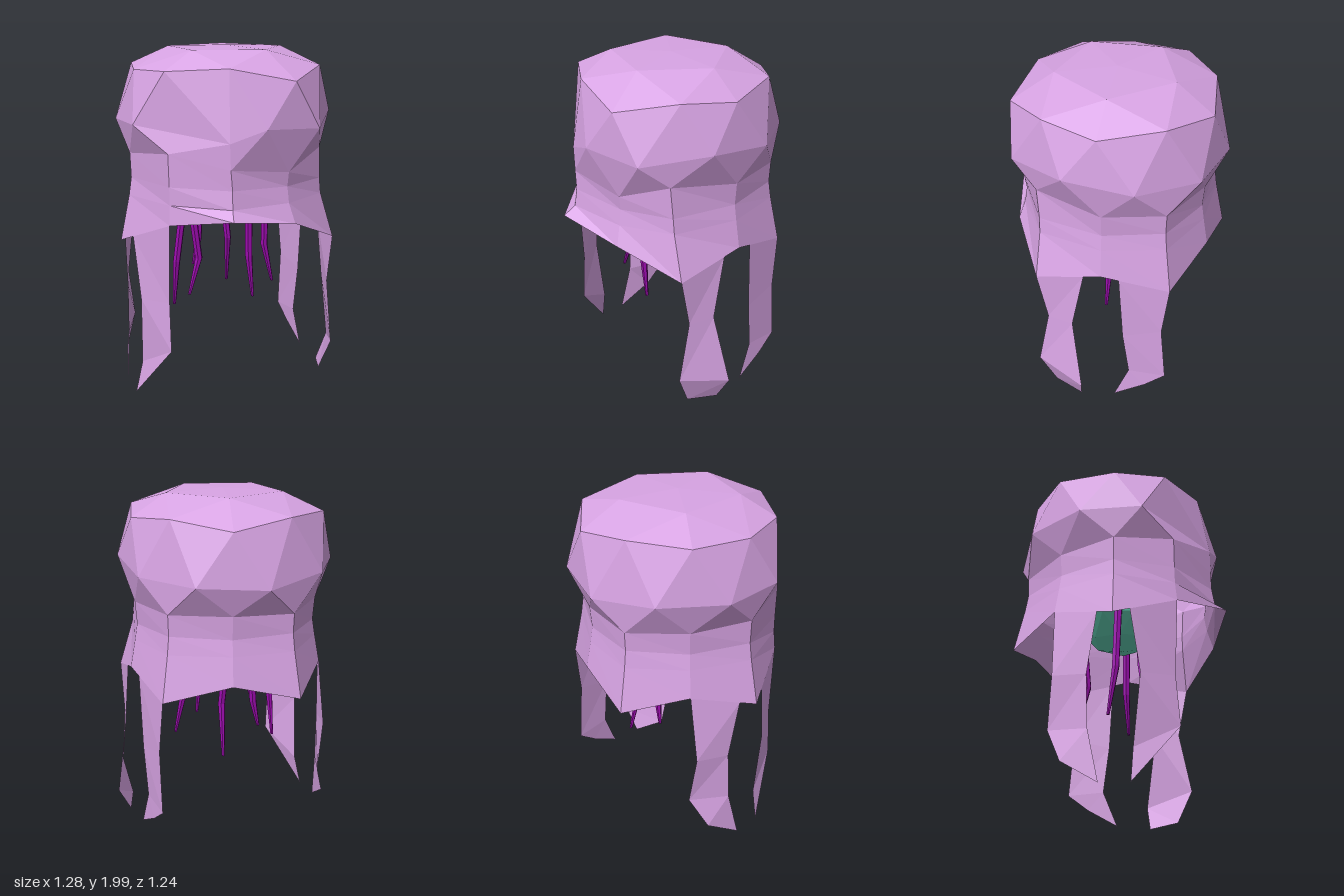
import * as THREE from 'three';

const material = (color) =>
  new THREE.MeshStandardMaterial({ color, flatShading: true, side: THREE.DoubleSide });

// Flat-shaded mesh from a list of corner points, three per triangle
function facetMesh(name, corners, mat) {
  const geo = new THREE.BufferGeometry();
  geo.setAttribute('position', new THREE.Float32BufferAttribute(corners.flat(), 3));
  geo.computeVertexNormals();
  const mesh = new THREE.Mesh(geo, mat);
  mesh.name = name;
  return mesh;
}

// Ring of points; even and odd points may differ in radius and height
function ring(n, start, [rEven, yEven], [rOdd, yOdd] = [rEven, yEven]) {
  return Array.from({ length: n }, (_, i) => {
    const a = start + (i * Math.PI * 2) / n;
    const r = i % 2 ? rOdd : rEven;
    return [r * Math.cos(a), i % 2 ? yOdd : yEven, r * Math.sin(a)];
  });
}

// Flat-topped dome with a faceted, slightly uneven pattern
function dome(lower) {
  const top = [0, 2, 0];
  const cap = ring(5, 0, [0.34, 1.99]);
  const upper = ring(10, 0, [0.56, 1.85], [0.54, 1.9]);
  upper[0] = [0.535, 1.865, 0.02];
  upper[2] = [0.18, 1.84, 0.55];
  upper[3] = [-0.17, 1.91, 0.48];
  upper[4] = [-0.46, 1.89, 0.29];
  upper[5] = [-0.54, 1.88, 0];
  upper[6] = [-0.46, 1.89, -0.33];
  const middle = [
    [0.565, 1.63, 0.2], [0.34, 1.58, 0.52], [0, 1.6, 0.59], [-0.19, 1.53, 0.54], [-0.6, 1.6, 0.16],
    [-0.6, 1.59, -0.19], [-0.37, 1.59, -0.5], [0, 1.55, -0.62], [0.37, 1.57, -0.5], [0.57, 1.58, -0.18],
  ];
  const out = [];
  for (let k = 0; k < 5; k++) {
    const a = cap[k], b = cap[(k + 1) % 5];
    const u0 = upper[2 * k], u1 = upper[2 * k + 1], u2 = upper[(2 * k + 2) % 10];
    out.push(top, b, a, a, b, u1, a, u1, u0, b, u2, u1);
  }
  for (let j = 0; j < 10; j++) {
    const n = (j + 1) % 10;
    out.push(upper[j], upper[n], middle[j], upper[n], middle[n], middle[j]);
    out.push(middle[j], lower[n], lower[j], middle[j], middle[n], lower[n]);
  }
  return out;
}

// Quads between successive rings
function bands(rings) {
  const out = [];
  for (let i = 0; i + 1 < rings.length; i++) {
    const a = rings[i], b = rings[i + 1];
    for (let j = 0; j < a.length; j++) {
      const n = (j + 1) % a.length;
      out.push(a[j], a[n], b[j], a[n], b[n], b[j]);
    }
  }
  return out;
}

// Strip between an outer and an inner edge
function strip(outer, inner) {
  const out = [];
  for (let i = 0; i + 1 < outer.length; i++) {
    out.push(outer[i], inner[i], outer[i + 1], inner[i], inner[i + 1], outer[i + 1]);
  }
  return out;
}

// Tapered arm through three points, closed at the tip
function taperedArm(path, mat) {
  const radii = [0.024, 0.022, 0.009];
  const rings = path.map(([x, y, z], i) =>
    ring(6, 0, [radii[i], y]).map((p) => [p[0] + x, p[1], p[2] + z]));
  const end = rings[2], corners = bands(rings);
  for (let j = 0; j < 6; j++) corners.push(end[j], end[(j + 1) % 6], path[2]);
  return facetMesh('tentacle', corners, mat);
}

export function createModel() {
  const model = new THREE.Group();
  const skin = material(0xd8a4e4);

  // Bell dome and the skirt that hangs from it
  const rim = ring(10, 0, [0.535, 1.4], [0.575, 1.42]);
  rim[1] = [0.42, 1.45, 0.37];
  rim[2][1] = 1.35;
  rim[3] = [-0.185, 1.39, 0.54];
  rim[4] = [-0.46, 1.46, 0.33];
  rim[7][1] = 1.39;
  rim[9][1] = 1.4;
  model.add(facetMesh('bell', dome(rim), skin));

  const waist = ring(10, 0, [0.525, 1.27], [0.57, 1.28]);
  waist[1] = [0.43, 1.27, 0.36];
  waist[4] = [-0.455, 1.28, 0.33];
  const flare = ring(10, 0, [0.54, 1.18], [0.585, 1.18]);
  flare[1] = [0.44, 1.18, 0.36];
  flare[4] = [-0.455, 1.18, 0.33];
  const hem = ring(10, 0, [0.57, 1.02], [0.64, 0.92]);
  hem[2] = [0.19, 1.07, 0.55];
  hem[3] = [-0.2, 1.13, 0.62];
  hem[4] = [-0.46, 1.07, 0.34];
  model.add(facetMesh('skirt', bands([rim, waist, flare, hem]), skin));

  // Four ribbon arms hanging from the hem: hem corners, outer edge, inner edge
  const ribbons = {
    frontLeftRibbon: [1, 0,
      [[0.52, 0.63, 0.32], [0.52, 0.27, 0.39], [0.49, 0.07, 0.3]],
      [[0.56, 0.63, 0.17], [0.64, 0.2, 0.11], [0.56, 0.05, 0.13]]],
    backLeftRibbon: [9, 0,
      [[0.53, 0.62, -0.34], [0.53, 0.26, -0.37], [0.54, 0.17, -0.25]],
      [[0.55, 0.57, -0.12], [0.54, 0.28, -0.155], [0.55, 0.07, -0.07]]],
    frontRightRibbon: [4, 5,
      [[-0.46, 0.62, 0.32], [-0.46, 0.34, 0.34], [-0.6, 0.01, 0.09]],
      [[-0.57, 0.6, 0.14], [-0.56, 0.2, 0.1], [-0.6, 0.01, 0.09]]],
    backRightRibbon: [6, 5,
      [[-0.51, 0.62, -0.33], [-0.47, 0.33, -0.35], [-0.55, 0.14, -0.27]],
      [[-0.57, 0.6, -0.14], [-0.575, 0.3, -0.13], [-0.6, 0.01, -0.07]]],
  };
  for (const [name, [from, to, outer, inner]] of Object.entries(ribbons)) {
    const innerTop = hem[from].map((v, i) => THREE.MathUtils.lerp(v, hem[to][i], 0.74));
    model.add(facetMesh(name, strip([hem[from], ...outer], [innerTop, ...inner]), skin));
  }

  // Round core inside the bell
  const core = new THREE.Mesh(new THREE.IcosahedronGeometry(0.3, 1), material(0x66d4b8));
  core.name = 'core';
  core.position.y = 1.28;
  model.add(core);

  // Thin tentacles under the core
  const tentacles = new THREE.Group();
  tentacles.name = 'tentacles';
  const purple = material(0x9a0cac);
  const paths = [
    [[-0.255, 1.15, 0], [-0.305, 0.75, -0.01], [-0.31, 0.47, -0.05]],
    [[-0.26, 1.15, 0.12], [-0.215, 0.8, 0.125], [-0.28, 0.59, 0.14]],
    [[-0.07, 1.15, -0.24], [-0.085, 0.8, -0.24], [-0.115, 0.64, -0.25]],
    [[0.045, 1.15, 0.24], [0.045, 0.82, 0.25], [0.07, 0.57, 0.25]],
    [[0.075, 1.15, -0.24], [0.1, 0.8, -0.21], [0.12, 0.5, -0.28]],
    [[0.255, 1.15, 0.01], [0.25, 0.8, 0.01], [0.3, 0.565, 0.02]],
  ];
  for (const path of paths) tentacles.add(taperedArm(path, purple));
  model.add(tentacles);

  return model;
}
